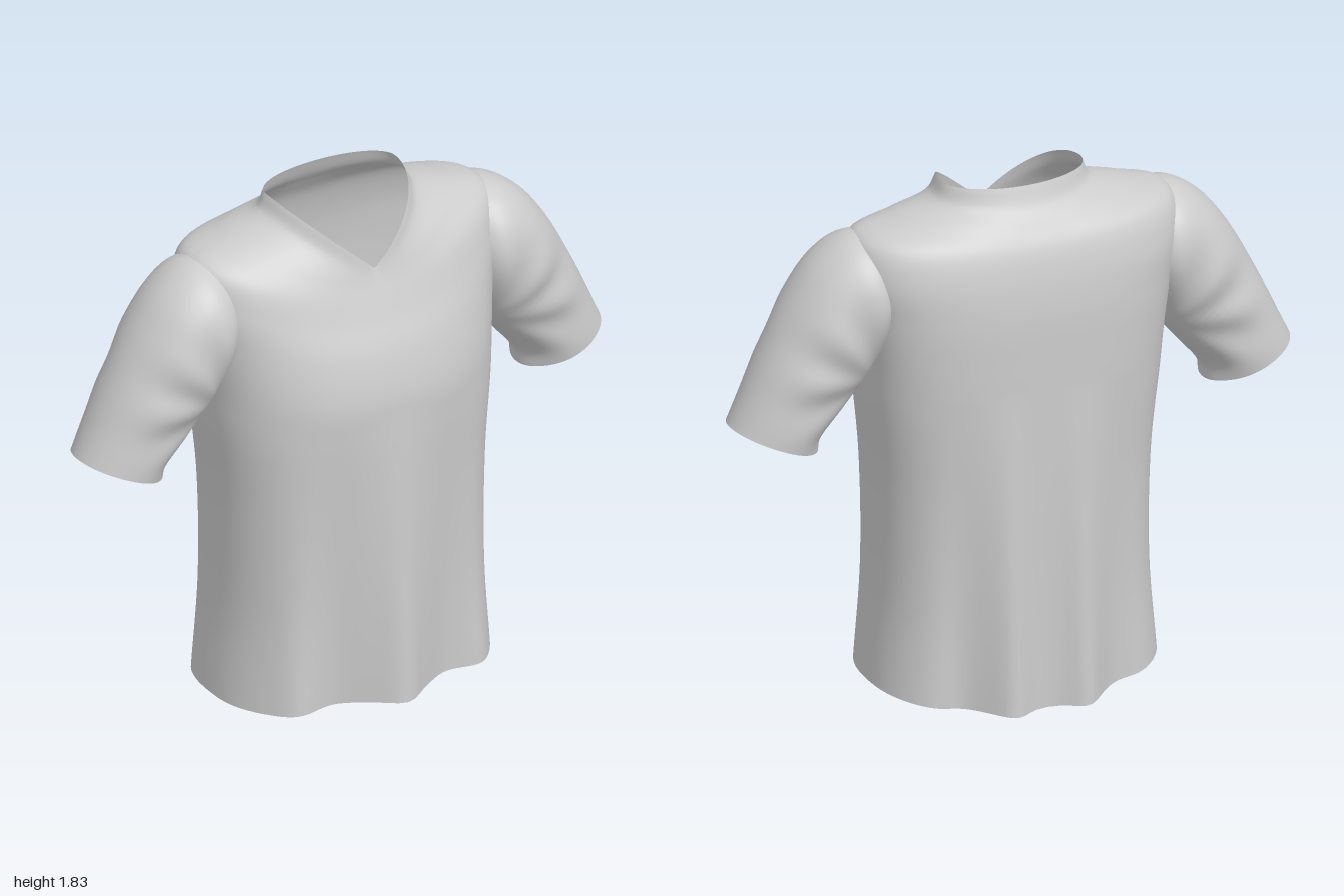
import * as THREE from 'three';

const fabric = new THREE.MeshStandardMaterial({ color: 0xcbcbcb, side: THREE.DoubleSide });
fabric.name = 'grey fabric';

const bump = (x, centre, width) => Math.exp(-(((x - centre) / width) ** 2));
const spow = (v, p) => Math.sign(v) * Math.abs(v) ** p;

// Smooth tube surface: around closed columns, each a spline through the ring points.
// ringPoint(k, angle) gives a point of ring k; adjust(p, angle) may displace it; skip(p) cuts a hole.
function loft(ringCount, around, along, ringPoint, adjust, skip = () => false) {
  const pos = [], pts = [], index = [];
  for (let i = 0; i < around; i++) {
    const angle = (i / around) * Math.PI * 2;
    const knots = Array.from({ length: ringCount }, (_, k) => ringPoint(k, angle));
    const curve = new THREE.CatmullRomCurve3(knots, false, 'centripetal');
    for (let j = 0; j <= along; j++) {
      const p = curve.getPoint(j / along);
      adjust(p, angle);
      pts.push(p);
      pos.push(p.x, p.y, p.z);
    }
  }
  const row = along + 1;
  for (let i = 0; i < around; i++) {
    for (let j = 0; j < along; j++) {
      const a = i * row + j, b = ((i + 1) % around) * row + j;
      if (skip(pts[a])) continue;
      index.push(a, b, b + 1, a, b + 1, a + 1);
    }
  }
  const geometry = new THREE.BufferGeometry();
  geometry.setAttribute('position', new THREE.Float32BufferAttribute(pos, 3));
  geometry.setIndex(index);
  geometry.computeVertexNormals();
  return geometry;
}

// Body rings from hem to neckline:
// side x, y, z | front y, z | back y, z | front squareness, back squareness, front dip power
const BODY = [
  [0.505, 0.06, -0.01, 0.08, 0.36, 0.01, -0.375, 2.3, 2.6, 2],
  [0.478, 0.40, -0.01, 0.41, 0.36, 0.38, -0.37, 2.3, 2.6, 2],
  [0.485, 0.80, -0.01, 0.80, 0.36, 0.79, -0.368, 2.3, 2.6, 2],
  [0.515, 1.10, -0.02, 1.08, 0.36, 1.10, -0.365, 2.3, 2.7, 2],
  [0.525, 1.24, -0.03, 1.21, 0.354, 1.25, -0.363, 2.3, 2.8, 2],
  [0.55, 1.42, -0.04, 1.35, 0.318, 1.42, -0.358, 2.2, 2.8, 2],
  [0.58, 1.58, -0.05, 1.46, 0.27, 1.55, -0.34, 2.1, 2.7, 2],
  [0.56, 1.69, -0.05, 1.53, 0.24, 1.65, -0.31, 2, 2.5, 1.8],
  [0.42, 1.74, -0.06, 1.575, 0.22, 1.72, -0.265, 2, 2.2, 1.5],
  [0.28, 1.785, -0.07, 1.605, 0.207, 1.77, -0.228, 2, 2, 1.2],
  [0.25, 1.84, -0.08, 1.62, 0.2, 1.833, -0.2, 2, 2, 1],
];

function bodyPoint(k, angle) {
  const [sx, sy, sz, fy, fz, by, bz, nf, nb, dip] = BODY[k];
  const s = Math.sin(angle), c = Math.cos(angle), front = c >= 0;
  const n = front ? nf : nb;
  const u = spow(s, 2 / n), w = Math.abs(c) ** (2 / n);
  const endY = front ? fy : by, endZ = front ? fz : bz;
  const t = Math.abs(u) ** (front ? dip : 2);
  return new THREE.Vector3(sx * u, endY + (sy - endY) * t, sz + (endZ - sz) * w);
}

// Hanging folds that deepen toward the hem
function drape(p, angle) {
  const depth = Math.max(0, 1 - p.y / 1.15), x = Math.abs(p.x);
  if (Math.cos(angle) > 0) {
    p.z += depth * (0.06 * bump(x, 0, 0.075) - 0.045 * bump(x, 0.21, 0.09) + 0.025 * bump(x, 0.37, 0.07));
  } else {
    p.z -= depth * (0.055 * bump(x, 0.13, 0.065) - 0.035 * bump(x, 0.28, 0.07));
  }
}

// Sleeve rings from cuff to shoulder: outer x, y | inner x, y | half depth, centre z
const SLEEVE = [
  [1.0, 1.07, 0.695, 0.95, 0.155, -0.045],
  [0.955, 1.165, 0.688, 1.0, 0.162, -0.045],
  [0.88, 1.325, 0.61, 1.1, 0.178, -0.042],
  [0.78, 1.51, 0.53, 1.2, 0.2, -0.04],
  [0.69, 1.625, 0.485, 1.28, 0.207, -0.04],
  [0.59, 1.69, 0.44, 1.36, 0.19, -0.045],
  [0.48, 1.70, 0.42, 1.42, 0.14, -0.05],
];

function sleeveGeometry(side) {
  const ringPoint = (k, angle) => {
    const [ox, oy, ix, iy, depth, cz] = SLEEVE[k];
    const c = Math.cos(angle), s = Math.sin(angle);
    return new THREE.Vector3(
      side * ((ox + ix) / 2 + ((ox - ix) / 2) * c),
      (oy + iy) / 2 + ((oy - iy) / 2) * c,
      cz - side * depth * s
    );
  };
  // Soft creases fanning out of the armpit
  const crease = (p) => {
    const x = Math.abs(p.x), d = Math.hypot(x - 0.52, p.y - 1.2);
    const fan = Math.atan2(p.y - 1.2, x - 0.52);
    const amount = 0.008 * bump(d, 0.24, 0.12) * Math.sin(fan * 9);
    p.z += amount * THREE.MathUtils.clamp((p.z + 0.04) / 0.1, -1, 1);
  };
  return loft(SLEEVE.length, 72, 48, ringPoint, crease);
}

export function createModel() {
  const shirt = new THREE.Group();
  shirt.name = 'shirt';

  // Body, open at hem, neck and the armholes hidden under the sleeves
  const armhole = (p) =>
    Math.abs(p.x) > 0.5 && p.y > 1.32 && p.y < 1.6 && Math.abs(p.z + 0.04) < 0.1;
  const body = new THREE.Mesh(loft(BODY.length, 160, 90, bodyPoint, drape, armhole), fabric);
  body.name = 'body';
  shirt.add(body);

  // Short sleeves
  for (const [name, side] of [['leftSleeve', 1], ['rightSleeve', -1]]) {
    const sleeve = new THREE.Mesh(sleeveGeometry(side), fabric);
    sleeve.name = name;
    shirt.add(sleeve);
  }
  return shirt;
}
